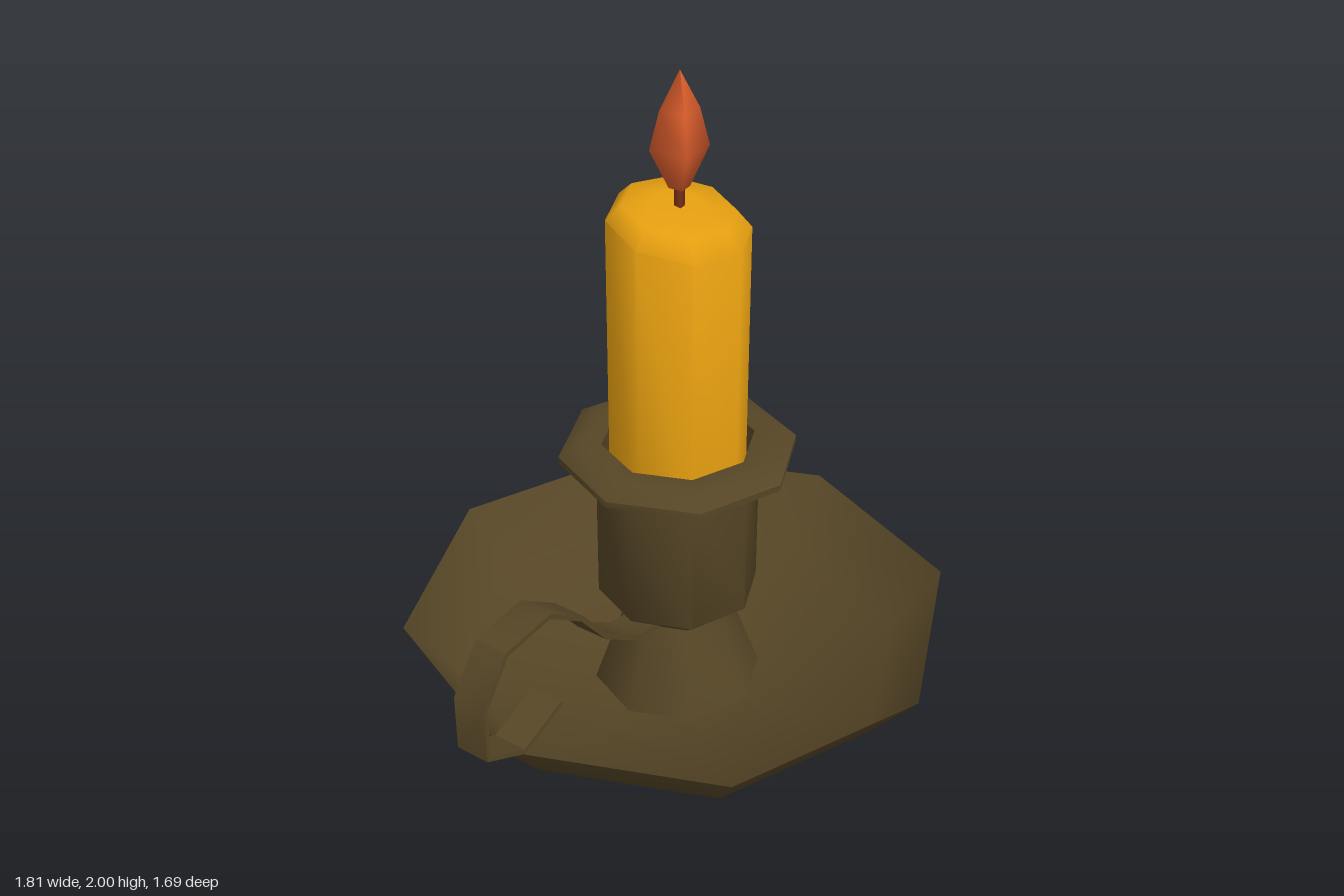
import * as THREE from 'three';
import { toCreasedNormals } from 'three/addons/utils/BufferGeometryUtils.js';

const material = (name, color, side = THREE.FrontSide) => {
  const m = new THREE.MeshStandardMaterial({ color, side });
  m.name = name;
  return m;
};

// Turned shape from [radius, height] pairs
const turned = (profile, sides = 8) =>
  new THREE.LatheGeometry(profile.map(([r, y]) => new THREE.Vector2(r, y)), sides);

// Ribbon outline: the path offset to both sides along its mitred normals
function ribbonShape(path, thickness) {
  const pts = path.map(([x, y]) => new THREE.Vector2(x, y));
  const left = [], right = [];
  pts.forEach((p, i) => {
    const a = pts[Math.max(i - 1, 0)], b = pts[Math.min(i + 1, pts.length - 1)];
    const d = b.clone().sub(a).normalize();
    const n = new THREE.Vector2(-d.y, d.x).multiplyScalar(thickness / 2);
    left.push(p.clone().add(n));
    right.unshift(p.clone().sub(n));
  });
  return new THREE.Shape([...left, ...right]);
}

export function createModel() {
  const model = new THREE.Group();
  model.name = 'candlestick';
  const brass = material('dark brass', 0x564626, THREE.DoubleSide);
  const wax = material('yellow wax', 0xe39d10);
  const fire = material('orange flame', 0xd65b2a);
  const char = material('burnt wick', 0x7a3019);

  // Everything turned stands on one axis, offset from the handle
  const axis = new THREE.Group();
  axis.name = 'turnedParts';
  axis.position.x = 0.06;
  model.add(axis);
  const add = (name, geometry, mat, parent = axis) => {
    const mesh = new THREE.Mesh(geometry, mat);
    mesh.name = name;
    parent.add(mesh);
    return mesh;
  };
  const creased = (profile) => toCreasedNormals(turned(profile), 0.95);

  // Thin octagonal dish with a hollow conical stem
  add('dish', creased([[0.26, 0], [0.695, 0.085], [0.845, 0.267]]), brass);
  add('stem', creased([[0.26, 0], [0.16, 0.272]]), brass);

  // Cup with a sloping collar and an open socket
  add('cup', creased([
    [0, 0.27], [0.16, 0.27], [0.245, 0.34], [0.245, 0.812], [0.355, 0.812],
    [0.355, 0.832], [0.295, 0.87], [0.228, 0.862], [0.22, 0.6], [0, 0.6],
  ]), brass);

  // Candle whose melted top slopes down to the front
  const candle = turned([[0.205, 0.6], [0.205, 1.555], [0.16, 1.605], [0.08, 1.61], [0, 1.61]]);
  const pos = candle.attributes.position;
  for (let i = 0; i < pos.count; i++) {
    if (pos.getY(i) > 1.5) pos.setY(i, pos.getY(i) - 0.18 * pos.getZ(i));
  }
  add('candle', toCreasedNormals(candle, 0.95), wax);

  // Wick and four-sided flame
  const wick = add('wick', new THREE.CylinderGeometry(0.015, 0.015, 0.1, 4), char);
  wick.position.y = 1.635;
  wick.rotation.y = Math.PI / 4;
  const flame = add('flame', turned([
    [0, 1.655], [0.03, 1.665], [0.084, 1.78], [0.056, 1.89], [0, 2],
  ], 4), fire);
  flame.rotation.y = Math.PI / 4 + 0.07;

  // Curled strip handle
  const handlePath = [
    [-0.08, 0.295], [-0.22, 0.322], [-0.37, 0.425], [-0.48, 0.56], [-0.62, 0.658],
    [-0.805, 0.648], [-0.902, 0.52], [-0.902, 0.35], [-0.755, 0.27], [-0.585, 0.328],
  ];
  const strip = new THREE.ExtrudeGeometry(ribbonShape(handlePath, 0.016), {
    depth: 0.105, bevelEnabled: false,
  });
  strip.translate(0, 0, -0.0525);
  add('handle', toCreasedNormals(strip, 0.8), brass, model);

  return model;
}
